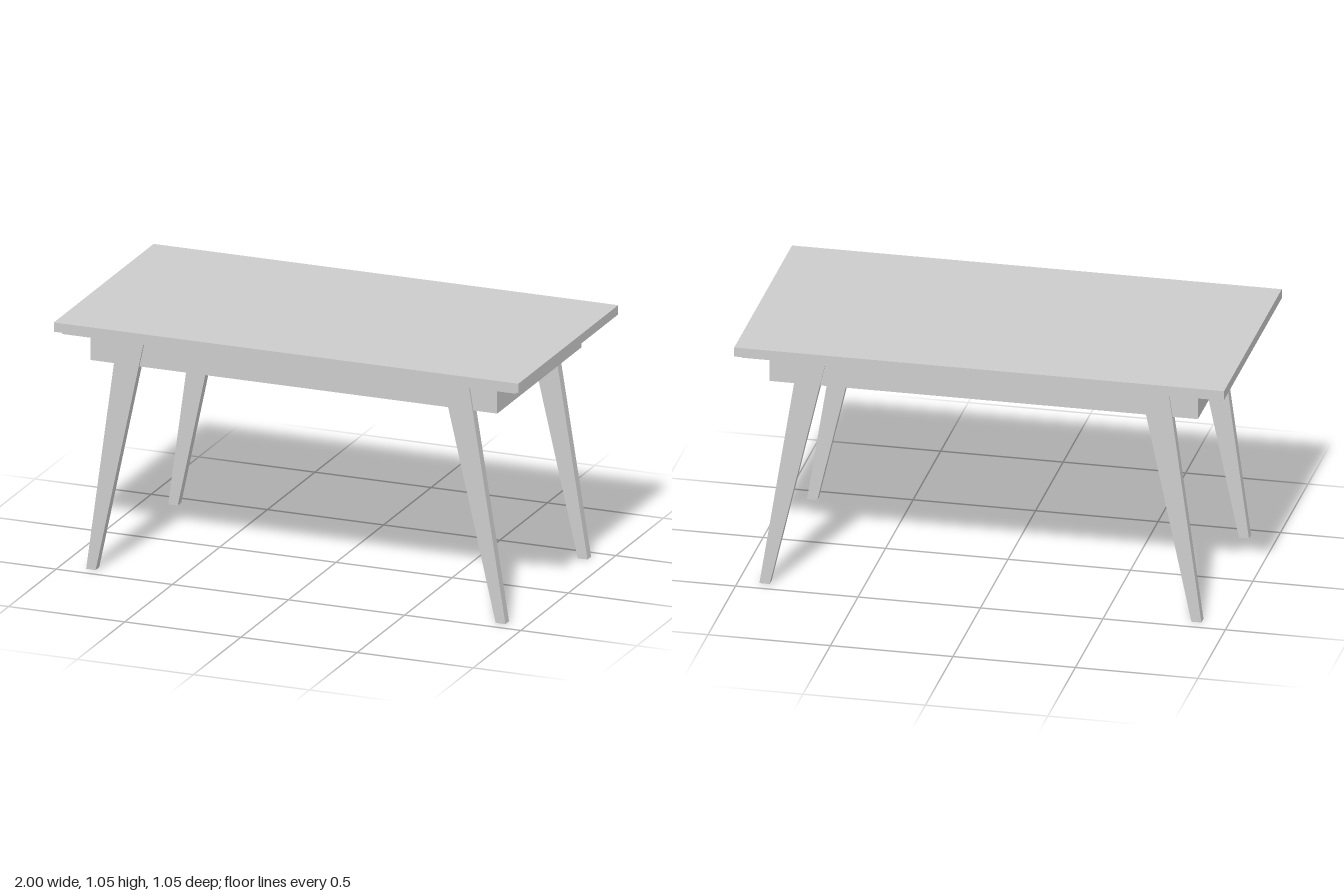
import * as THREE from 'three';

export function createModel() {
  const group = new THREE.Group();
  group.name = 'table';
  const grey = new THREE.MeshStandardMaterial({ color: 0xcccccc });
  grey.name = 'plain grey';

  const add = (name, geometry) => {
    const mesh = new THREE.Mesh(geometry, grey);
    mesh.name = name;
    group.add(mesh);
    return mesh;
  };

  // Box given by its limits on each axis
  const box = (name, x0, x1, y0, y1, z0, z1) =>
    add(name, new THREE.BoxGeometry(x1 - x0, y1 - y0, z1 - z0))
      .position.set((x0 + x1) / 2, (y0 + y1) / 2, (z0 + z1) / 2);

  // Four boards forming an open rectangular frame
  const frame = (name, X, Z, T, y0, y1) => {
    box(name + 'Front', -X, X, y0, y1, Z - T, Z);
    box(name + 'Back', -X, X, y0, y1, -Z, T - Z);
    box(name + 'Left', X - T, X, y0, y1, T - Z, Z - T);
    box(name + 'Right', -X, T - X, y0, y1, T - Z, Z - T);
  };

  // Top board, narrow rim under its edge, and apron
  const UNDER = 1.007, X = 0.875, Z = 0.442, T = 0.03;
  box('tableTop', -1, 1, UNDER, 1.046, -0.525, 0.525);
  frame('rim', 0.977, 0.492, 0.025, 0.99, UNDER);
  frame('apron', X, Z, T, 0.878, UNDER);

  // Thin panels at both ends and a rail across the middle, inside the apron
  const slat = (name, x0, x1) => box(name, x0, x1, 0.932, 0.958, T - Z, Z - T);
  slat('leftPanel', 0.518, X - T);
  slat('middleRail', -0.04, 0.035);
  slat('rightPanel', T - X, -0.522);

  // Splayed legs, tapering towards the foot
  const leg = (name, top, foot, z) => {
    const shape = new THREE.Shape([
      new THREE.Vector2(foot[0], 0), new THREE.Vector2(foot[1], 0),
      new THREE.Vector2(top[1], UNDER), new THREE.Vector2(top[0], UNDER),
    ]);
    const geometry = new THREE.ExtrudeGeometry(shape, { depth: 0.038, bevelEnabled: false });
    add(name, geometry).position.z = z - 0.019;
  };
  for (const [end, z] of [['front', 0.432], ['back', -0.431]]) {
    leg(end + 'LeftLeg', [0.638, 0.752], [0.872, 0.914], z);
    leg(end + 'RightLeg', [-0.754, -0.638], [-0.891, -0.85], z);
  }

  return group;
}
